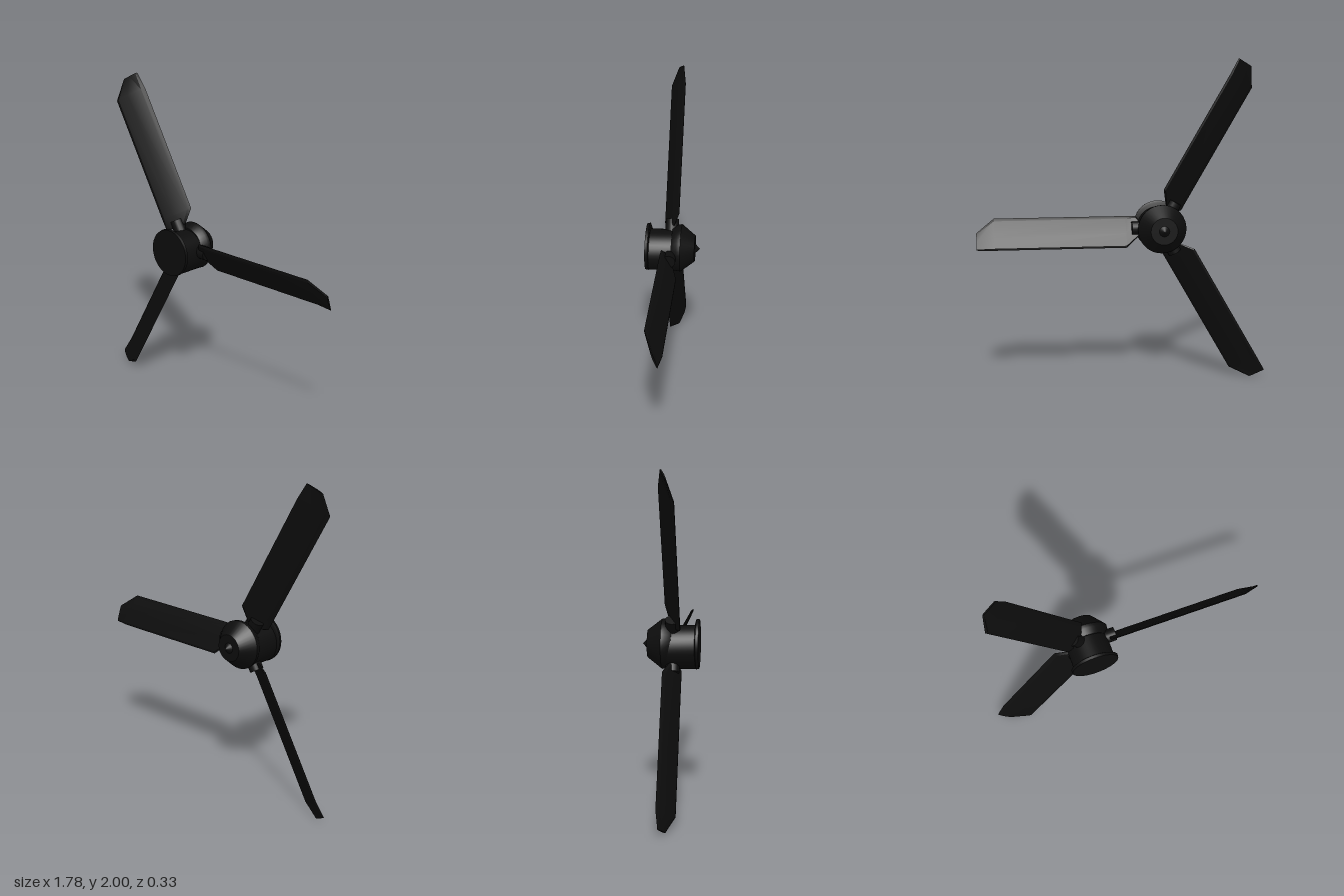
import * as THREE from 'three';
import { toCreasedNormals } from 'three/addons/utils/BufferGeometryUtils.js';

const HUB_X = -0.235, HUB_Y = 0.975;

// Solid of revolution about z; profile is [radius, z] with z increasing
function turned(profile, segments = 36) {
  const points = profile.map(([r, z]) => new THREE.Vector2(r, z));
  const geometry = new THREE.LatheGeometry(points, segments);
  geometry.rotateX(Math.PI / 2);
  return toCreasedNormals(geometry, 0.5);
}

// Pitched blade along +x, lofted through a thin aerofoil section
function bladeGeometry() {
  // Section: [position along chord, offset across chord]
  const section = [
    [1, -0.001], [0.9, 0.009], [0.55, 0.014], [0.1, 0.009],
    [0, 0], [0.07, -0.007], [0.45, -0.009], [0.92, -0.009],
  ];
  // Stations: [radius, trailing y, leading y, pitch slope, z shift, thickness]
  const stations = [
    [0.138, -0.047, 0.052, 0.556, 0.022, 0.9],
    [0.152, -0.06, 0.068, 0.556, 0.023, 1],
    [0.214, -0.112, 0.068, 0.556, 0.025, 1],
    [1.018, -0.112, 0.068, 0.556, 0.025, 1],
    [1.125, -0.112, -0.012, 0.35, 0.018, 0.5],
  ];
  const n = section.length, last = (stations.length - 1) * n;
  const positions = [], index = [];
  for (const [x, lo, hi, slope, shift, thick] of stations) {
    for (const [u, w] of section) {
      const y = lo + (hi - lo) * u;
      positions.push(x, y, slope * y + shift + w * thick);
    }
  }
  for (let s = 0; s < stations.length - 1; s++) {
    for (let i = 0; i < n; i++) {
      const a = s * n + i, b = s * n + (i + 1) % n;
      index.push(a, b, a + n, b, b + n, a + n);
    }
  }
  for (let i = 1; i < n - 1; i++) {
    index.push(0, i + 1, i, last, last + i, last + i + 1);
  }
  const geometry = new THREE.BufferGeometry();
  geometry.setAttribute('position', new THREE.Float32BufferAttribute(positions, 3));
  geometry.setIndex(index);
  return toCreasedNormals(geometry, 0.35);
}

export function createModel() {
  const model = new THREE.Group();
  model.name = 'propeller';
  const black = new THREE.MeshStandardMaterial({ color: 0x0d0d0d });
  black.name = 'black';

  const add = (parent, name, geometry) => {
    const mesh = new THREE.Mesh(geometry, black);
    mesh.name = name;
    parent.add(mesh);
    return mesh;
  };

  const hub = new THREE.Group();
  hub.name = 'hub';
  hub.position.set(HUB_X, HUB_Y, 0);
  model.add(hub);

  // Motor housing sits slightly low behind the front plate
  const housing = add(hub, 'housing', turned([[0, -0.04], [0.13, -0.04], [0.13, 0.15], [0, 0.15]]));
  housing.position.y = -0.018;
  add(hub, 'frontPlate', turned([[0, 0.143], [0.135, 0.143], [0.149, 0.149], [0.146, 0.166], [0, 0.166]]));

  // Tapered rear shell and pointed cap
  add(hub, 'rearShell', turned([
    [0, -0.139], [0.082, -0.139], [0.149, -0.053], [0.146, -0.03], [0.122, 0.005], [0, 0.005],
  ]));
  add(hub, 'rearCap', turned([[0, -0.169], [0.034, -0.137], [0.034, -0.13]], 16));

  // Three blades with their root stubs
  const blade = bladeGeometry();
  const stub = new THREE.CylinderGeometry(0.042, 0.042, 0.12, 16);
  stub.rotateZ(-Math.PI / 2);
  stub.translate(0.12, 0, 0.012);
  for (let i = 0; i < 3; i++) {
    const arm = new THREE.Group();
    arm.name = 'bladeArm';
    arm.rotation.z = (i * Math.PI * 2) / 3;
    add(arm, 'blade', blade);
    add(arm, 'rootStub', stub);
    hub.add(arm);
  }
  return model;
}
